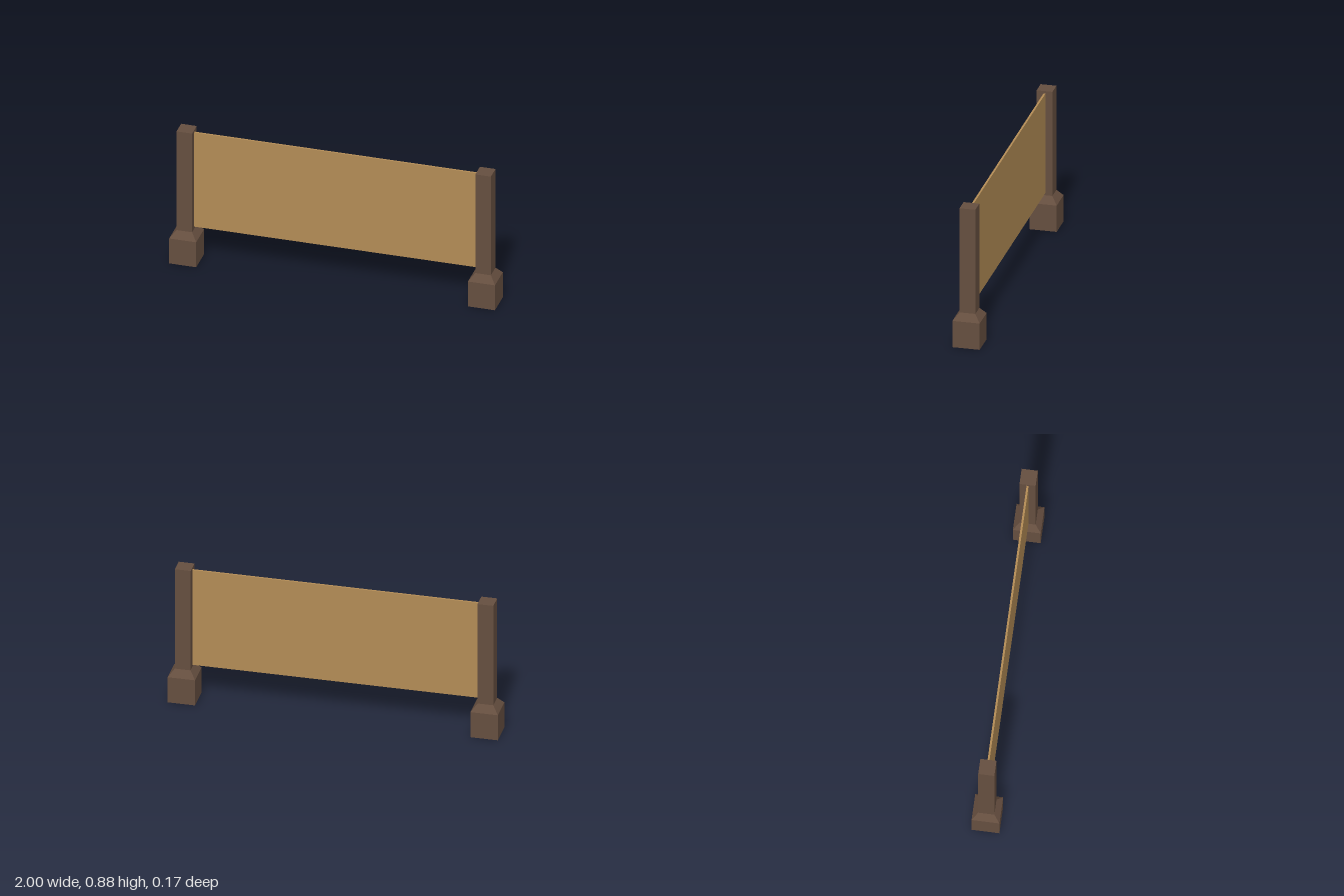
import * as THREE from 'three';

const darkWood = new THREE.MeshStandardMaterial({ color: 0x654e3f });
darkWood.name = 'darkWood';
const tanPanel = new THREE.MeshStandardMaterial({ color: 0xb28b55 });
tanPanel.name = 'tanPanel';

// Square block from y0 to y1 whose half width goes from bottom to top
function squareBlock(name, y0, y1, bottom, top = bottom) {
  const geometry = new THREE.BoxGeometry(2, y1 - y0, 2);
  geometry.translate(0, (y0 + y1) / 2, 0);
  const p = geometry.attributes.position;
  for (let i = 0; i < p.count; i++) {
    const half = p.getY(i) > (y0 + y1) / 2 ? top : bottom;
    p.setX(i, p.getX(i) * half);
    p.setZ(i, p.getZ(i) * half);
  }
  geometry.computeVertexNormals();
  const mesh = new THREE.Mesh(geometry, darkWood);
  mesh.name = name;
  return mesh;
}

export function createModel() {
  const model = new THREE.Group();
  model.name = 'panelFence';

  // Two posts, each on a plinth with a sloped collar
  for (const side of [-1, 1]) {
    const post = new THREE.Group();
    post.name = side > 0 ? 'leftPost' : 'rightPost';
    post.add(
      squareBlock('plinth', 0, 0.168, 0.083),
      squareBlock('collar', 0.168, 0.212, 0.083, 0.048),
      squareBlock('shaft', 0.212, 0.878, 0.048)
    );
    post.position.x = side * 0.917;
    model.add(post);
  }

  // Thin panel between the posts
  const panel = new THREE.Mesh(new THREE.BoxGeometry(1.74, 0.635, 0.012), tanPanel);
  panel.name = 'panel';
  panel.position.y = 0.545;
  model.add(panel);

  return model;
}
